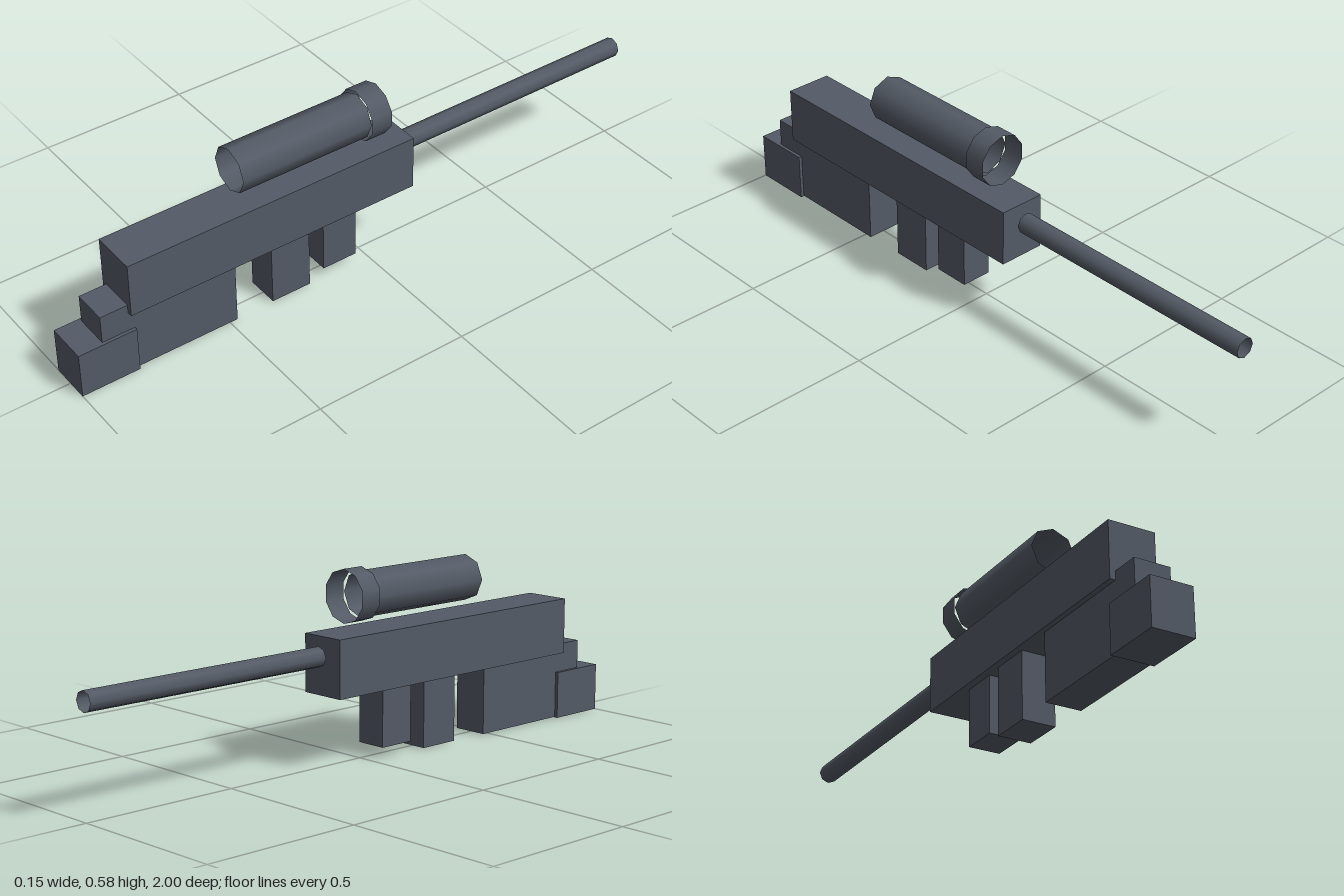
import * as THREE from 'three';

export function createModel() {
  const model = new THREE.Group();
  const slate = new THREE.MeshStandardMaterial({ color: 0x545b66, side: THREE.DoubleSide });
  slate.name = 'slate grey';

  const add = (name, geometry, x, y, z) => {
    const mesh = new THREE.Mesh(geometry, slate);
    mesh.name = name;
    mesh.position.set(x, y, z);
    model.add(mesh);
  };

  // Block centred near x = 0, given by its width and its y and z ranges
  const block = (name, width, y0, y1, z0, z1) =>
    add(name, new THREE.BoxGeometry(width, y1 - y0, z1 - z0), -0.001, (y0 + y1) / 2, (z0 + z1) / 2);

  // Open-ended smooth tube lying along z
  const tube = (name, radius, sides, x, y, z0, z1) =>
    add(name, new THREE.CylinderGeometry(radius, radius, z1 - z0, sides, 1, true).rotateX(Math.PI / 2),
      x, y, (z0 + z1) / 2);

  // Body and stock
  block('receiver', 0.148, 0.212, 0.388, -0.15, 0.83);
  block('stock', 0.113, 0.002, 0.239, 0.475, 0.918);
  block('buttPad', 0.134, 0, 0.149, 0.812, 1);

  // Blocks hanging below the body
  block('magazine', 0.106, 0.002, 0.22, 0.215, 0.348);
  block('foreGrip', 0.1, 0.032, 0.22, 0.045, 0.162);

  // Barrel and floating sight
  tube('barrel', 0.031, 8, -0.001, 0.33, -1, -0.165);
  tube('sightTube', 0.071, 8, -0.004, 0.494, 0, 0.443);
  tube('sightRing', 0.081, 10, -0.002, 0.495, -0.066, 0.005);

  return model;
}
